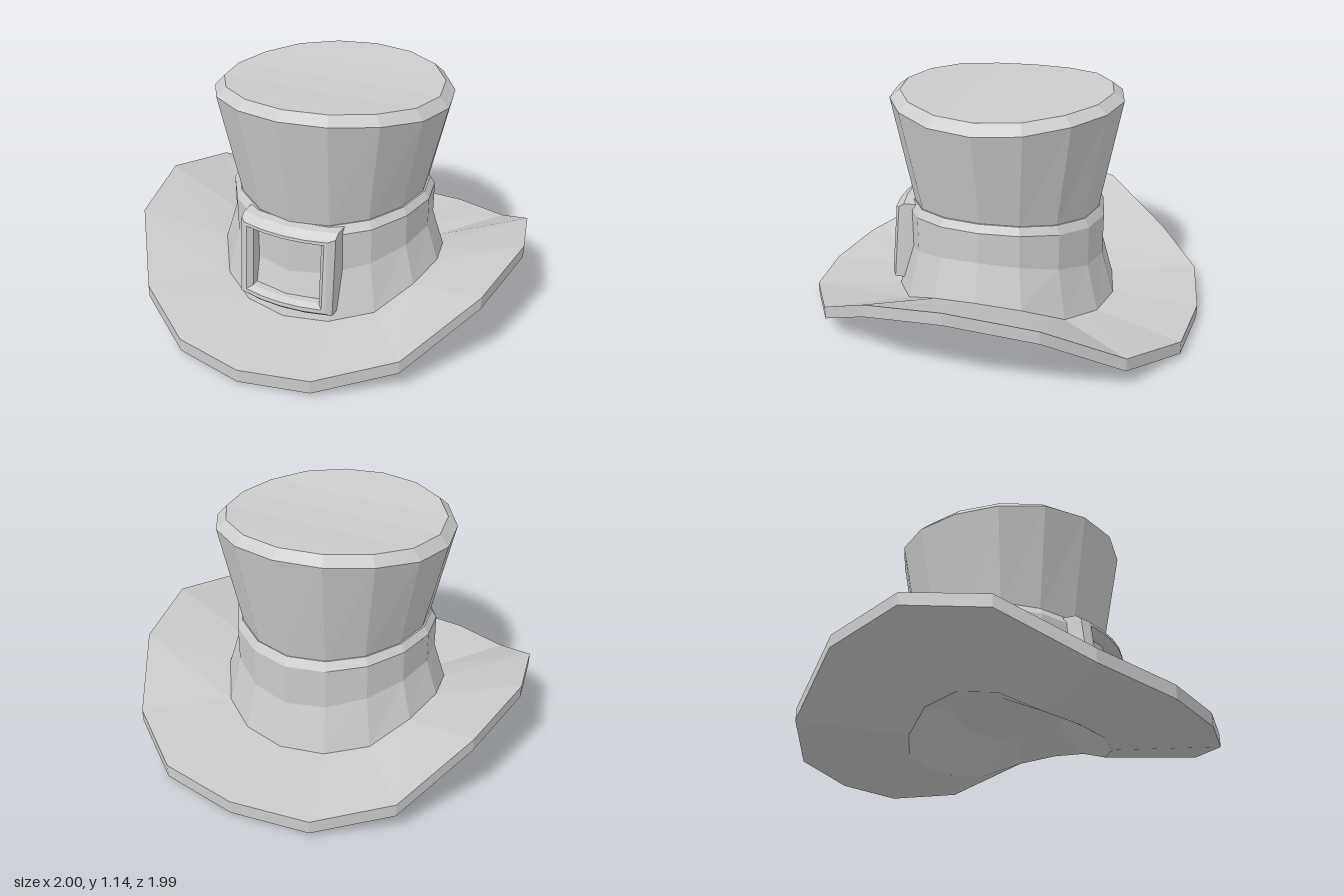
import * as THREE from 'three';

const SIDES = 16;
const material = new THREE.MeshStandardMaterial({ color: 0xcccccc, flatShading: true });

// Skin a list of rings (equal point counts) with flat triangles; single-point rings become fans.
function loft(name, rings) {
  const pos = [];
  const tri = (...pts) => {
    for (const p of pts) pos.push(...p);
  };
  for (let r = 0; r < rings.length - 1; r++) {
    const a = rings[r], b = rings[r + 1];
    for (let i = 0; i < b.length; i++) {
      const j = (i + 1) % b.length;
      if (a.length === 1) tri(a[0], b[j], b[i]);
      else {
        tri(a[i], a[j], b[j]);
        tri(a[i], b[j], b[i]);
      }
    }
  }
  const geometry = new THREE.BufferGeometry();
  geometry.setAttribute('position', new THREE.Float32BufferAttribute(pos, 3));
  geometry.computeVertexNormals();
  const mesh = new THREE.Mesh(geometry, material);
  mesh.name = name;
  return mesh;
}

// Height blend from front/back (0) to the sides (1), for a quarter turn.
const BRIM_LIFT = [0, 0.05, 0.25, 0.81, 1];
const BAND_LIFT = [0, 0.15, 0.5, 0.85, 1];
const CROWN_LIFT = [0, 0.08, 0.32, 0.8, 1];
const liftAt = (table, i) => table[Math.min(i % 8, 8 - (i % 8))];

// Oval ring, starting at the front and turning towards +x.
function ring(rx, rz, ySide, yFront, lift) {
  return Array.from({ length: SIDES }, (_, i) => {
    const t = (i / SIDES) * Math.PI * 2;
    return [rx * Math.sin(t), yFront + (ySide - yFront) * liftAt(lift, i), rz * Math.cos(t)];
  });
}

// Outer edge of the brim, one half from front to back, mirrored.
const BRIM_HALF = [
  [0, 0.995], [0.34, 0.94], [0.67, 0.73], [0.92, 0.4], [1, 0],
  [0.92, -0.4], [0.71, -0.74], [0.39, -0.95], [0, -0.995],
];
function brimEdge(ySide, yFront) {
  return Array.from({ length: SIDES }, (_, i) => {
    const [x, z] = BRIM_HALF[Math.min(i, SIDES - i)];
    return [i > 8 ? -x : x, yFront + (ySide - yFront) * liftAt(BRIM_LIFT, i), z];
  });
}

// Rectangular buckle loop that follows a curved, slightly tilted face.
function buckleLoop(halfWidth, y0, y1, dz) {
  const steps = [-1, -0.5, 0, 0.5, 1];
  const point = (s, y) => {
    const x = s * halfWidth;
    return [x, y, 0.555 + (0.53 - y) * 0.1 - 0.65 * x * x + dz];
  };
  return [
    ...steps.map((s) => point(s, y0)),
    ...steps.map((s) => point(-s, y1)),
  ];
}

export function createModel() {
  const hat = new THREE.Group();
  hat.name = 'hat';

  const opening = ring(0.52, 0.49, 0.165, 0.03, BRIM_LIFT);
  const brimTop = ring(0.575, 0.565, 0.24, 0.08, BRIM_LIFT);
  const crownTop = ring(0.54, 0.52, 1.11, 1.138, CROWN_LIFT);

  // Shallow hollow under the hat
  hat.add(loft('innerHollow', [
    [[0, 0.23, 0]],
    ring(0.28, 0.25, 0.21, 0.195, BRIM_LIFT),
    opening,
  ]));

  // Brim: underside, rim, upper side
  hat.add(loft('brim', [opening, brimEdge(0.37, 0), brimEdge(0.43, 0.065), brimTop]));

  // Flared band with a bevelled upper edge
  hat.add(loft('band', [
    brimTop,
    ring(0.515, 0.5, 0.42, 0.3, BAND_LIFT),
    ring(0.515, 0.5, 0.573, 0.51, BAND_LIFT),
    ring(0.49, 0.475, 0.608, 0.553, BAND_LIFT),
    ring(0.47, 0.455, 0.608, 0.553, BAND_LIFT),
  ]));

  // Crown widening upwards, bevelled edge and a lid that sags along its middle line
  hat.add(loft('crown', [
    ring(0.48, 0.47, 0.6, 0.545, BAND_LIFT),
    ring(0.587, 0.572, 1.06, 1.1, CROWN_LIFT),
    crownTop,
    crownTop.map(([, y, z]) => [0, y, z]),
  ]));

  // Buckle frame: outer wall, bevel, face, inner bevel, inner wall
  hat.add(loft('buckle', [
    buckleLoop(0.25, 0.14, 0.56, -0.14),
    buckleLoop(0.25, 0.14, 0.555, -0.04),
    buckleLoop(0.25, 0.14, 0.535, -0.015),
    buckleLoop(0.22, 0.155, 0.525, 0),
    buckleLoop(0.205, 0.175, 0.51, 0),
    buckleLoop(0.18, 0.19, 0.495, -0.03),
    buckleLoop(0.18, 0.19, 0.495, -0.13),
  ]));

  return hat;
}
